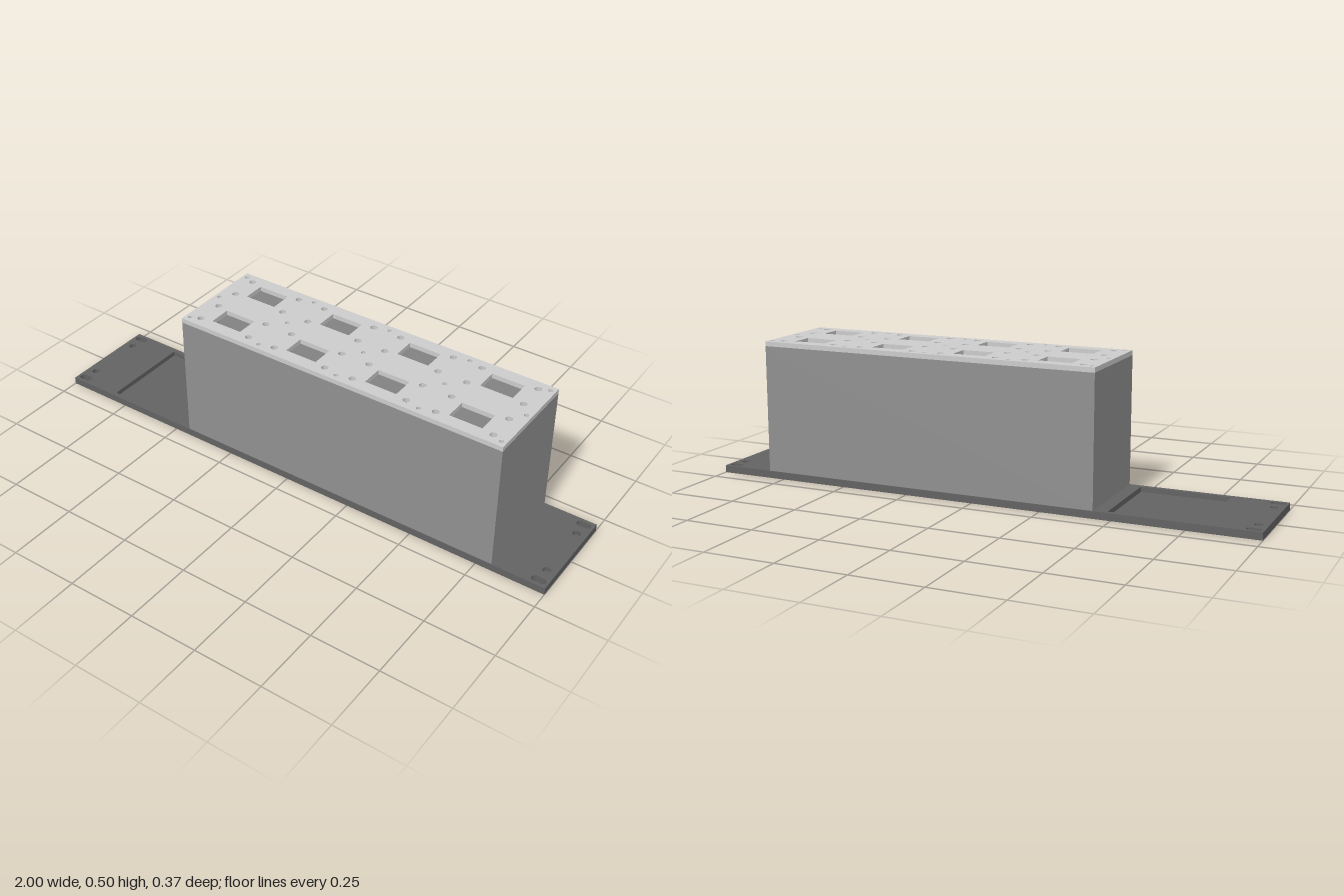
import * as THREE from 'three';

const mat = (color) => new THREE.MeshStandardMaterial({ color });

// Rounded rectangle outline (r = 0 gives square corners)
function rect(cx, cz, w, d, r = 0, Kind = THREE.Path) {
  const p = new Kind(), x = w / 2, y = d / 2;
  if (!r) {
    return p.moveTo(cx - x, cz - y).lineTo(cx + x, cz - y).lineTo(cx + x, cz + y)
      .lineTo(cx - x, cz + y).lineTo(cx - x, cz - y);
  }
  p.moveTo(cx - x + r, cz - y);
  p.lineTo(cx + x - r, cz - y);
  p.absarc(cx + x - r, cz - y + r, r, -Math.PI / 2, 0);
  p.lineTo(cx + x, cz + y - r);
  p.absarc(cx + x - r, cz + y - r, r, 0, Math.PI / 2);
  p.lineTo(cx - x + r, cz + y);
  p.absarc(cx - x + r, cz + y - r, r, Math.PI / 2, Math.PI);
  p.lineTo(cx - x, cz - y + r);
  p.absarc(cx - x + r, cz - y + r, r, Math.PI, Math.PI * 1.5);
  return p;
}

const circle = (cx, cz, r) => new THREE.Path().absarc(cx, cz, r, 0, Math.PI * 2);

// Horizontal slab between two heights, pierced by holes
function slab(name, cx, w, d, y0, y1, holes, material) {
  const shape = rect(cx, 0, w, d, 0, THREE.Shape);
  shape.holes.push(...holes);
  const geo = new THREE.ExtrudeGeometry(shape, { depth: y1 - y0, bevelEnabled: false, curveSegments: 8 });
  geo.rotateX(-Math.PI / 2).translate(0, y0, 0);
  const mesh = new THREE.Mesh(geo, material);
  mesh.name = name;
  return mesh;
}

export function createModel() {
  const group = new THREE.Group();
  group.name = 'rackPanel';
  const dark = mat(0x626262), mid = mat(0x909090), light = mat(0xcccccc);

  // Eight bays in two rows
  const bays = [];
  for (let i = 0; i < 4; i++) for (const z of [-0.0965, 0.0965]) bays.push([-0.283 + i * 0.3115, z]);

  // Small assembly screws in a 5 x 3 grid
  const screws = [];
  for (const x of [-0.42, -0.127, 0.1845, 0.496, 0.789]) for (const z of [-0.16, 0, 0.16]) screws.push([x, z]);
  const screwHoles = () => screws.map(([x, z]) => circle(x, z, 0.008));

  // Base plate in two layers: end slots, stepped mounting holes, recess and bay openings
  const recess = () => rect(-0.645, 0, 0.32, 0.336);
  const baseHoles = (r) => {
    const holes = [recess(), ...bays.map(([x, z]) => rect(x, z, 0.25, 0.145, 0.018))];
    for (const x of [-0.965, 0.965]) for (const s of [-1, 1]) {
      holes.push(rect(x, s * 0.16, 0.05, 0.026, 0.0125), circle(x, s * 0.106, r));
    }
    return holes;
  };
  group.add(slab('basePlateLower', 0, 2, 0.37, 0, 0.009, [...baseHoles(0.008), ...screwHoles()], dark));
  group.add(slab('basePlateUpper', 0, 2, 0.37, 0.009, 0.026, baseHoles(0.014), dark));
  group.add(slab('recessFloor', -0.645, 0.32, 0.336, 0, 0.008, [], dark));

  // Tall body with a rounded channel under each window
  const channels = bays.map(([x, z]) => rect(x, z, 0.235, 0.13, 0.015));
  group.add(slab('body', 0.1845, 1.246, 0.366, 0.026, 0.483, channels, mid));

  // Top plate with windows, four fixing holes around each, and the screw grid
  const lidHoles = screwHoles();
  for (const [x, z] of bays) {
    lidHoles.push(rect(x, z, 0.118, 0.08));
    for (const sx of [-1, 1]) for (const sz of [-1, 1]) {
      lidHoles.push(circle(x + sx * 0.102, z + sz * 0.049, 0.012));
    }
  }
  group.add(slab('topPlate', 0.1845, 1.246, 0.366, 0.483, 0.5, lidHoles, light));

  return group;
}
